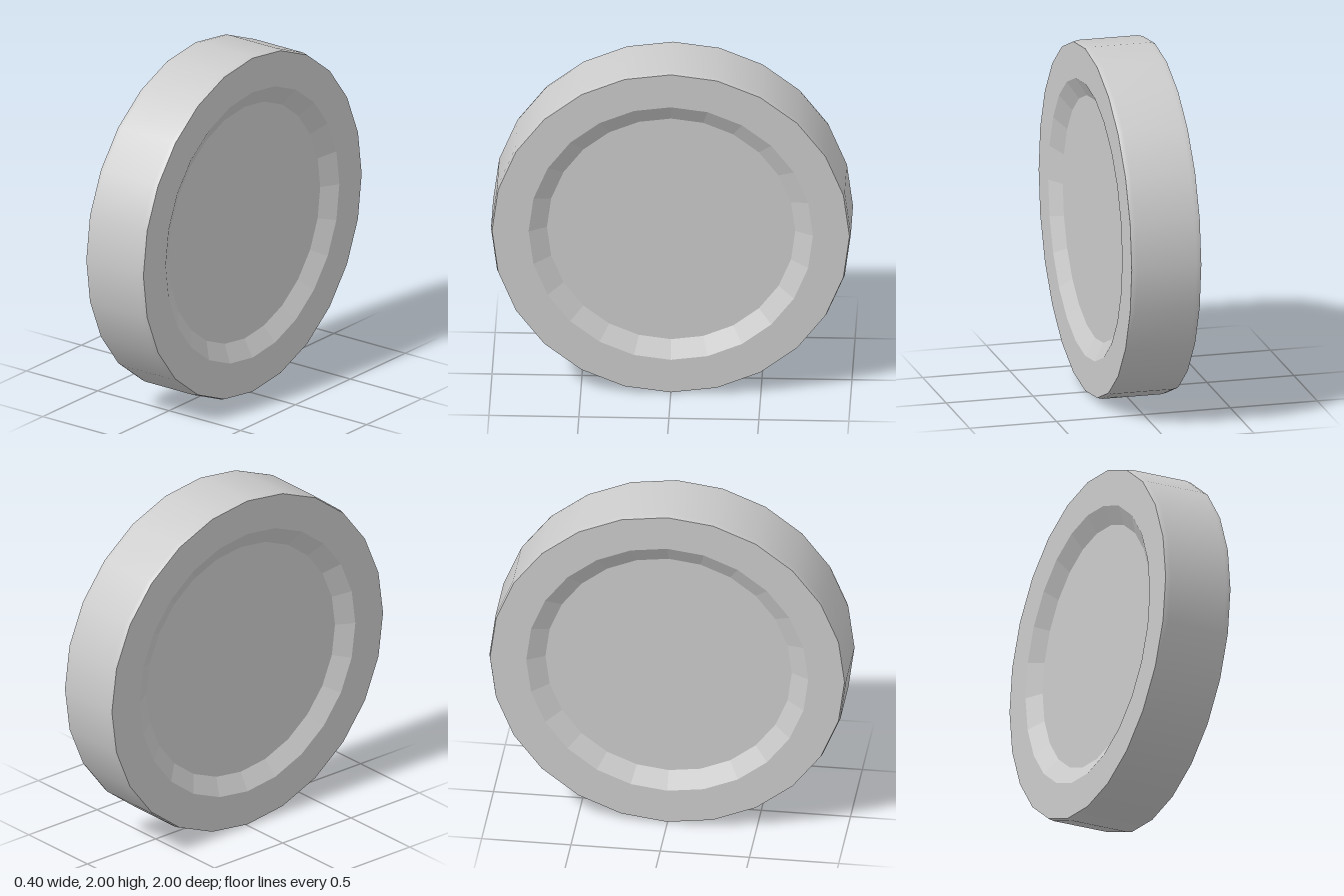
import * as THREE from 'three';

const SIDES = 24;

// Revolve a [radius, height] profile, then lay its axis along x
function revolve(name, profile, material) {
  const points = profile.map(([r, h]) => new THREE.Vector2(r, h));
  const geometry = new THREE.LatheGeometry(points, SIDES).rotateZ(-Math.PI / 2);
  const mesh = new THREE.Mesh(geometry, material);
  mesh.name = name;
  return mesh;
}

export function createModel() {
  const group = new THREE.Group();
  group.name = 'disc';
  const smooth = new THREE.MeshStandardMaterial({ color: 0xcccccc });
  const flat = new THREE.MeshStandardMaterial({ color: 0xcccccc, flatShading: true });

  // Outer band with a faint bevel at both edges
  group.add(revolve('outerBand', [[0.993, -0.2], [1, -0.17], [1, 0.17], [0.993, 0.2]], smooth));

  // Two side faces: flat rim, sloped step and dished centre
  const face = [[0.993, 0.2], [0.79, 0.2], [0.69, 0.143], [0, 0.143]];
  const left = revolve('leftFace', face, flat);
  const right = revolve('rightFace', face, flat);
  right.rotation.y = Math.PI;
  group.add(left, right);

  // Stand the disc on the ground
  for (const part of group.children) part.position.y = 1;
  return group;
}
